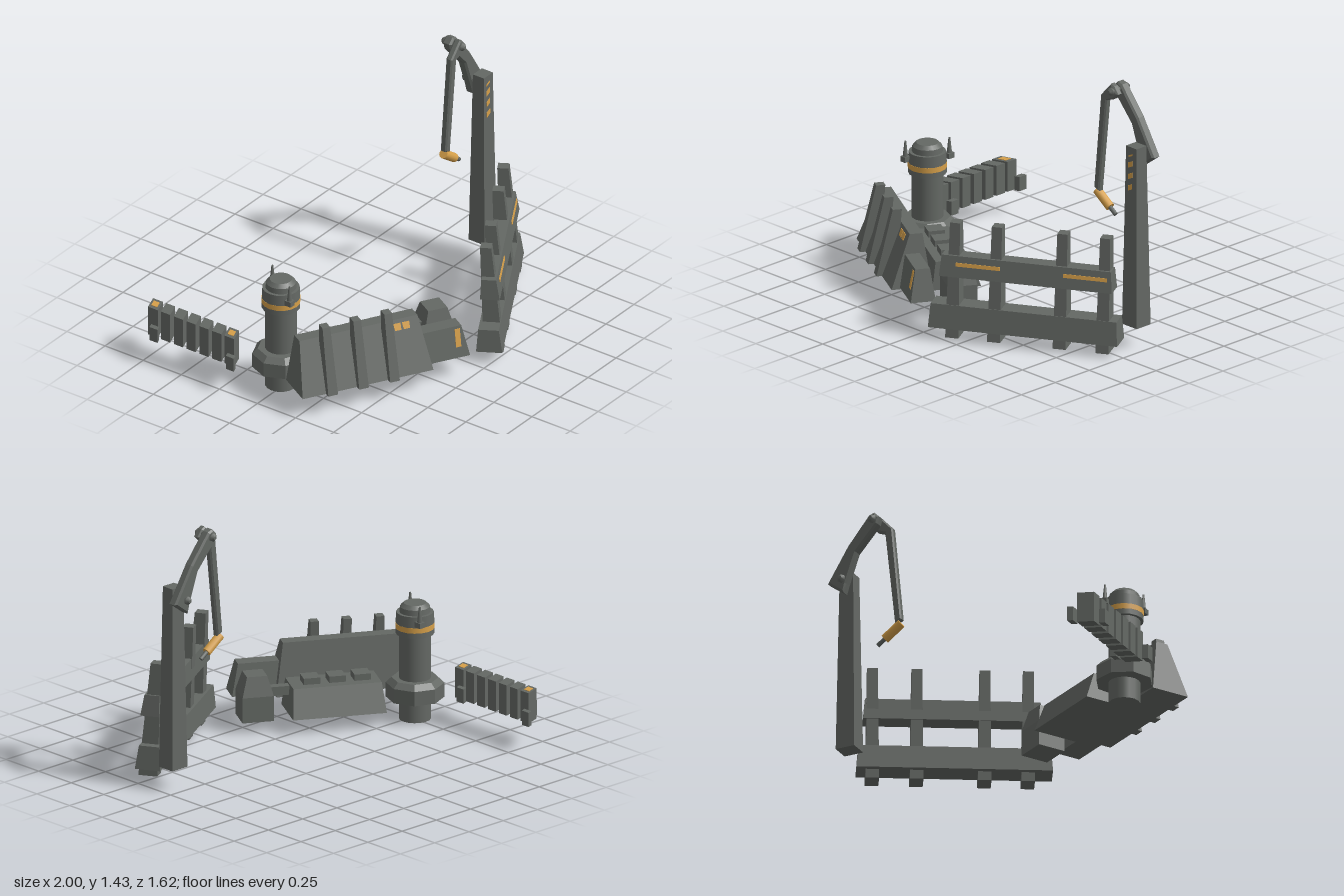
import * as THREE from 'three';

const gray = new THREE.MeshStandardMaterial({ color: 0x646864 });
gray.name = 'dark gray metal';
const amber = new THREE.MeshStandardMaterial({ color: 0xd6a04a });
amber.name = 'amber paint';

function add(parent, name, geo, mat = gray) {
  const m = new THREE.Mesh(geo, mat);
  m.name = name;
  parent.add(m);
  return m;
}

// Tapered block: bottom and top rectangles are [x0, x1, z0, z1]; shear slides z along x
function block(parent, name, y0, y1, b, t = b, mat = gray, shear = 0) {
  const geo = new THREE.BoxGeometry(1, 1, 1);
  const p = geo.attributes.position;
  for (let i = 0; i < p.count; i++) {
    const r = p.getY(i) > 0 ? t : b;
    const x = p.getX(i) > 0 ? r[1] : r[0];
    const z = p.getZ(i) > 0 ? r[3] : r[2];
    const mid = (b[0] + b[1]) / 2;
    p.setXYZ(i, x, p.getY(i) > 0 ? y1 : y0, z + shear * (x - mid));
  }
  geo.computeVertexNormals();
  return add(parent, name, geo, mat);
}

function cyl(parent, name, r0, r1, y0, y1, x, z, sides = 16, mat = gray) {
  const m = add(parent, name, new THREE.CylinderGeometry(r1, r0, y1 - y0, sides), mat);
  m.position.set(x, (y0 + y1) / 2, z);
  return m;
}

// Flat outline in x/y, thickened from z0 to z1
function plate(parent, name, pts, z0, z1, mat = gray, bevel = 0) {
  const geo = new THREE.ExtrudeGeometry(new THREE.Shape(pts.map(p => new THREE.Vector2(...p))), {
    depth: z1 - z0 - 2 * bevel, bevelEnabled: bevel > 0, bevelSize: bevel,
    bevelThickness: bevel, bevelOffset: -bevel, bevelSegments: 1
  });
  geo.translate(0, 0, z0 + bevel);
  return add(parent, name, geo, mat);
}

// Cylinder between two points
function rod(parent, name, a, b, r0, r1, sides, mat = gray) {
  const A = new THREE.Vector3(...a), B = new THREE.Vector3(...b), d = B.clone().sub(A);
  const m = add(parent, name, new THREE.CylinderGeometry(r1, r0, d.length(), sides), mat);
  m.position.copy(A).add(B).multiplyScalar(0.5);
  m.quaternion.setFromUnitVectors(new THREE.Vector3(0, 1, 0), d.normalize());
  return m;
}

function group(parent, name) {
  const g = new THREE.Group();
  g.name = name;
  parent.add(g);
  return g;
}

function buildFence(root) {
  const g = group(root, 'fence');
  g.position.set(0.505, 0, 0.485);
  g.rotation.y = Math.PI / 6;
  block(g, 'lowerRail', 0.07, 0.2, [-0.52, 0.52, -0.07, 0.07], [-0.51, 0.51, -0.06, 0.05]);
  block(g, 'upperRail', 0.36, 0.475, [-0.465, 0.485, -0.055, 0.05], [-0.455, 0.475, -0.05, 0.03]);
  for (const u of [-0.39, -0.16, 0.2, 0.435]) {
    block(g, 'fencePost', 0.02, 0.65, [u - 0.036, u + 0.036, -0.04, 0.065],
      [u - 0.028, u + 0.028, -0.06, 0]);
  }
  for (const [a, b] of [[-0.375, -0.133], [0.214, 0.456]]) {
    block(g, 'railStripe', 0.42, 0.44, [a, b, 0.035, 0.0425], [a, b, 0.0325, 0.039], amber);
  }
}

function buildCrane(root) {
  const g = group(root, 'crane');
  block(g, 'craneMast', 0.12, 1.135, [0.86, 0.97, 0.018, 0.122], [0.875, 0.955, 0.035, 0.107]);
  // slanted marks follow the leaning mast front
  for (const [y, h] of [[0.885, 0.03], [0.95, 0.03], [1.015, 0.03], [1.075, 0.01]]) {
    const z = 0.122 - 0.015 * (y - 0.12) / 1.015;
    plate(g, 'mastMark', [[0.895, y], [0.925, y + 0.015], [0.925, y + 0.015 + h], [0.895, y + h]],
      z - 0.006, z + 0.002, amber);
  }
  plate(g, 'mainArm', [[0.72, 1.43], [0.69, 1.40], [0.70, 1.36], [0.825, 1.22], [0.885, 1.05],
    [0.9, 1.0], [0.995, 1.07], [0.875, 1.265], [0.75, 1.42]], -0.032, 0.024, gray, 0.01);
  plate(g, 'foreArm', [[0.718, 1.43], [0.64, 1.345], [0.588, 0.805], [0.627, 0.79], [0.685, 1.325],
    [0.735, 1.345], [0.77, 1.38], [0.74, 1.42]], 0.03, 0.07, gray, 0.008);
  // joint pins with pointed caps
  for (const [x, y, z0, z1] of [[0.727, 1.39, -0.04, 0.077], [0.91, 1.08, -0.04, 0.035]]) {
    rod(g, 'jointPin', [x, y, z0], [x, y, z1], 0.024, 0.024, 6);
    rod(g, 'pinCap', [x, y, z0], [x, y, z0 - 0.016], 0.024, 0.01, 6);
    rod(g, 'pinCap', [x, y, z1], [x, y, z1 + 0.016], 0.024, 0.01, 6);
  }
  rod(g, 'toolBody', [0.595, 0.785, 0.047], [0.693, 0.715, 0.047], 0.025, 0.025, 12, amber);
  rod(g, 'toolTip', [0.69, 0.717, 0.047], [0.735, 0.685, 0.047], 0.012, 0.012, 8);
}

function buildTower(root) {
  const g = group(root, 'tower'), x = -0.763, z = -0.02;
  const collar = new THREE.CylinderGeometry(0.125, 0.155, 0.03, 8).toNonIndexed();
  collar.computeVertexNormals();
  const ring = new THREE.CylinderGeometry(0.155, 0.155, 0.08, 8).toNonIndexed();
  ring.computeVertexNormals();
  add(g, 'towerRing', ring).position.set(x, 0.16, z);
  add(g, 'towerRingTop', collar).position.set(x, 0.215, z);
  cyl(g, 'towerColumn', 0.085, 0.085, 0, 0.49, x, z);
  cyl(g, 'towerHead', 0.103, 0.103, 0.48, 0.51, x, z);
  cyl(g, 'towerBand', 0.104, 0.104, 0.51, 0.54, x, z, 16, amber);
  cyl(g, 'towerHeadTop', 0.103, 0.1, 0.54, 0.6, x, z);
  cyl(g, 'towerCap', 0.083, 0.08, 0.6, 0.63, x, z);
  cyl(g, 'towerDome', 0.08, 0.06, 0.63, 0.65, x, z);
  for (const s of [-1, 1]) {
    const ax = x - s * 0.062, az = z + s * 0.102;
    block(g, 'antennaBase', 0.55, 0.58, [ax - 0.018, ax + 0.018, az - 0.02, az + 0.02]);
    cyl(g, 'antenna', 0.014, 0.005, 0.58, 0.665, ax, az, 8);
  }
}

function buildBarrier(root) {
  const g = group(root, 'barrier'), shear = -0.35;
  const slab = (name, zc, h, y0, y1, x0, x1, mat) =>
    block(g, name, y0, y1, [x0, x1, zc - h, zc + h], undefined, mat, shear);
  for (let i = 0; i < 5; i++) slab('barrierBlock', -0.65 + i * 0.084, 0.03, 0.14, 0.31, -0.957, -0.87);
  for (const z of [-0.733, -0.232]) {
    slab('barrierEnd', z, 0.032, 0.14, 0.31, -0.957, -0.87);
    slab('barrierMark', z, 0.019, 0.307, 0.313, -0.936, -0.891, amber);
    slab('barrierFoot', z + 0.045, 0.026, 0.14, 0.22, -1, -0.97);
    slab('barrierFoot', z - 0.055, 0.026, 0.14, 0.22, -0.862, -0.832);
  }
}

function buildBunker(root) {
  const g = group(root, 'bunker');
  g.rotation.y = -Math.PI / 6;
  // armoured front wall with a lower wing
  block(g, 'armourWall', 0.12, 0.41, [-0.71, 0.045, 0.52, 0.74], [-0.68, 0, 0.56, 0.63]);
  block(g, 'armourWing', 0.13, 0.305, [-0.05, 0.277, 0.557, 0.694], [-0.05, 0.24, 0.58, 0.66]);
  for (const u of [-0.547, -0.369, -0.19]) {
    block(g, 'armourRib', 0.12, 0.488, [u - 0.028, u + 0.028, 0.66, 0.77], [u - 0.022, u + 0.022, 0.63, 0.68]);
  }
  for (const u of [-0.12, -0.07]) {
    block(g, 'wallMark', 0.355, 0.39, [u - 0.018, u + 0.018, 0.646, 0.654], [u - 0.024, u + 0.018, 0.633, 0.641], amber);
  }
  block(g, 'wingMark', 0.19, 0.29, [0.2, 0.23, 0.676, 0.685], [0.2, 0.23, 0.656, 0.665], amber);
  // low housing behind the wall
  block(g, 'housing', 0.085, 0.24, [-0.49, 0.02, 0.245, 0.512], [-0.475, 0.005, 0.3, 0.49]);
  for (const u of [-0.384, -0.247, -0.108]) {
    block(g, 'housingHatch', 0.23, 0.275, [u - 0.045, u + 0.045, 0.352, 0.442]);
  }
  // linked box at the end
  block(g, 'linkBar', 0.18, 0.23, [0, 0.13, 0.385, 0.43]);
  block(g, 'endBoxBase', 0.06, 0.2, [0.105, 0.275, 0.33, 0.49]);
  block(g, 'endBoxTop', 0.2, 0.308, [0.105, 0.275, 0.33, 0.49], [0.135, 0.245, 0.355, 0.465]);
}

export function createModel() {
  const root = new THREE.Group();
  root.name = 'outpost';
  buildFence(root);
  buildCrane(root);
  buildTower(root);
  buildBarrier(root);
  buildBunker(root);
  return root;
}
